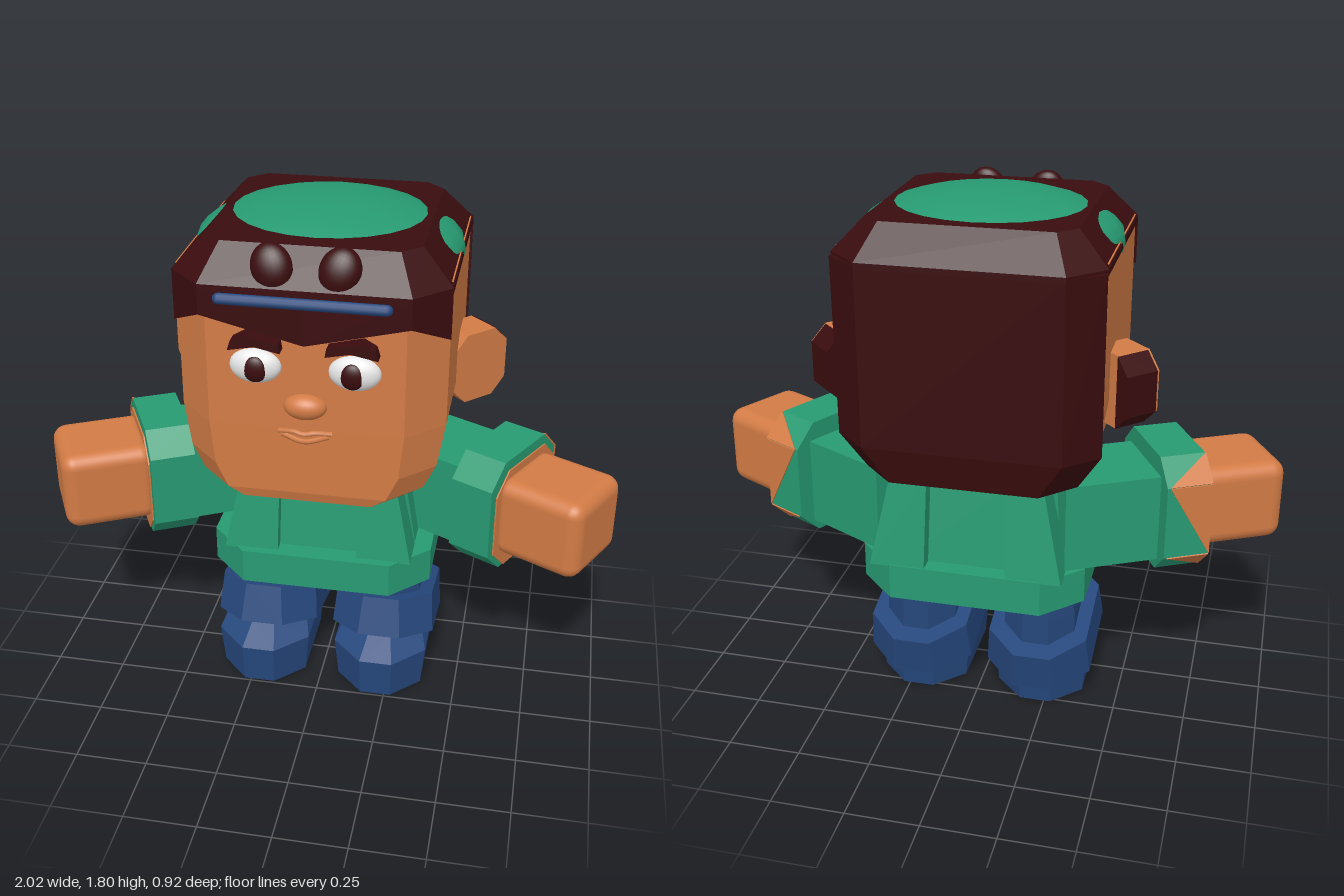
import * as THREE from 'three';
import { RoundedBoxGeometry } from 'three/addons/geometries/RoundedBoxGeometry.js';

const mat = (name, color, extra = {}) => {
  const m = new THREE.MeshStandardMaterial({ color, ...extra });
  m.name = name;
  return m;
};

// Chamfered rectangle in the xz plane
const octagon = (x, z0, z1, c) => [
  [x, z0 + c], [x, z1 - c], [x - c, z1], [c - x, z1],
  [-x, z1 - c], [-x, z0 + c], [c - x, z0], [x - c, z0],
];

// Faceted solid through stacked rings [y, outline]
function loft(rings) {
  const v = [];
  const tri = (...p) => p.forEach((q) => v.push(...q));
  const pts = rings.map(([y, o]) => o.map(([x, z]) => [x, y, z]));
  const n = pts[0].length, last = pts[pts.length - 1];
  for (let r = 0; r < pts.length - 1; r++) {
    for (let i = 0; i < n; i++) {
      const j = (i + 1) % n, lo = pts[r], hi = pts[r + 1];
      tri(lo[i], hi[i], lo[j]);
      tri(lo[j], hi[i], hi[j]);
    }
  }
  for (let i = 1; i < n - 1; i++) {
    tri(pts[0][0], pts[0][i], pts[0][i + 1]);
    tri(last[0], last[i + 1], last[i]);
  }
  const g = new THREE.BufferGeometry();
  g.setAttribute('position', new THREE.Float32BufferAttribute(v, 3));
  g.computeVertexNormals();
  return g;
}

const octLoft = (rows) => loft(rows.map(([y, ...o]) => [y, octagon(...o)]));

function add(parent, name, geometry, material, pos = [0, 0, 0], rot = [0, 0, 0], scale = [1, 1, 1]) {
  const m = new THREE.Mesh(geometry, material);
  m.name = name;
  m.position.set(...pos);
  m.rotation.set(...rot);
  m.scale.set(...scale);
  parent.add(m);
  return m;
}

function plate(points, depth) {
  const shape = new THREE.Shape(points.map((p) => new THREE.Vector2(...p)));
  return new THREE.ExtrudeGeometry(shape, { depth, bevelEnabled: false });
}

const tube = (points, r) => new THREE.TubeGeometry(
  new THREE.CatmullRomCurve3(points.map((p) => new THREE.Vector3(...p))), 12, r, 6);

export function createModel() {
  const skin = mat('skin', 0xd27b45);
  const hair = mat('hair', 0x3a0c0e);
  const hairSheet = hair;
  const green = mat('green cloth', 0x279a72);
  const blue = mat('blue cloth', 0x25477c);
  const white = mat('eye white', 0xf2f2f2);
  const model = new THREE.Group();
  model.name = 'figure';
  const ball = new THREE.SphereGeometry(1, 24, 16);

  // Head
  const head = new THREE.Group();
  head.name = 'head';
  model.add(head);
  add(head, 'face', octLoft([
    [0.9, 0.31, -0.3, 0.39, 0.1], [0.935, 0.37, -0.32, 0.4, 0.11], [1.02, 0.41, -0.36, 0.4, 0.11],
    [1.17, 0.435, -0.44, 0.4, 0.12], [1.66, 0.435, -0.44, 0.4, 0.12],
  ]), skin);

  // Hair: crown, back and pointed fringe
  add(head, 'hairCrown', octLoft([
    [1.63, 0.44, -0.46, 0.42, 0.11], [1.65, 0.44, -0.46, 0.42, 0.11], [1.757, 0.34, -0.36, 0.32, 0.06],
  ]), hair);
  const back = (x, zf, zb) => [[x, zf], [-x, zf], [-x, zf - 0.01], [0.11 - x, zb], [x - 0.11, zb], [x, zf - 0.01]];
  add(head, 'hairBack', loft([
    [0.9, back(0.36, -0.31, -0.43)], [1.03, back(0.44, -0.35, -0.46)], [1.64, back(0.44, -0.36, -0.46)],
  ]), hair);
  const edge = [[0.44, 0.31, 1.48], [0.33, 0.42, 1.55], [0, 0.42, 1.47], [-0.33, 0.42, 1.55], [-0.44, 0.31, 1.48]];
  for (let i = 0; i < 4; i++) {
    const [a, b] = [edge[i], edge[i + 1]];
    const inner = ([x, z]) => [x * 0.93, z - 0.04];
    const ring = [a, b, inner(b), inner(a)];
    const low = [a[2], b[2], b[2], a[2]];
    const g = loft([[0, ring], [1, ring]]);
    // Slant the lower edge of each fringe piece
    const p = g.attributes.position;
    for (let k = 0; k < p.count; k++) {
      const c = ring.findIndex(([x, z]) => Math.abs(x - p.getX(k)) < 1e-5 && Math.abs(z - p.getZ(k)) < 1e-5);
      p.setY(k, p.getY(k) > 0.5 ? 1.64 : low[c]);
    }
    g.computeVertexNormals();
    add(head, 'fringe', g, hairSheet);
  }
  add(head, 'cap', ball, green, [0, 1.645, -0.03], [0, 0, 0], [0.445, 0.16, 0.39]);
  add(head, 'headband', new THREE.CapsuleGeometry(0.018, 0.515, 4, 10), blue, [0, 1.617, 0.44], [0, 0, Math.PI / 2]);
  add(head, 'nose', ball, skin, [0, 1.255, 0.4], [0, 0, 0], [0.07, 0.043, 0.045]);
  add(head, 'upperLip', tube([[-0.085, 1.165, 0.405], [-0.03, 1.172, 0.42], [0, 1.166, 0.423], [0.03, 1.172, 0.42], [0.085, 1.165, 0.405]], 0.009), skin);
  add(head, 'lowerLip', tube([[-0.075, 1.155, 0.405], [0, 1.14, 0.42], [0.075, 1.155, 0.405]], 0.009), skin);

  // Torso with wide hem and upright straps
  const torso = new THREE.Group();
  torso.name = 'torso';
  model.add(torso);
  add(torso, 'hem', octLoft([[0.46, 0.39, -0.43, 0.26, 0.13], [0.585, 0.39, -0.43, 0.26, 0.13]]), green);
  add(torso, 'jacket', octLoft([[0.58, 0.33, -0.37, 0.19, 0.1], [0.92, 0.27, -0.33, 0.15, 0.08]]), green);
  const strap = (z0, z1, zt0, zt1) => loft([
    [0.58, [[0.33, z0], [0.33, z1], [0.14, z1], [0.14, z0]]],
    [0.91, [[0.26, zt0], [0.26, zt1], [0.135, zt1], [0.135, zt0]]],
  ]);

  // Everything that comes in pairs
  for (const s of [1, -1]) {
    const side = new THREE.Group();
    side.name = s > 0 ? 'leftSide' : 'rightSide';
    side.scale.x = s;
    model.add(side);

    add(side, 'frontStrap', strap(0.1, 0.23, 0.1, 0.19), green);
    add(side, 'backStrap', strap(-0.425, -0.3, -0.385, -0.28), green);

    // Face details
    add(side, 'eye', ball, white, [0.157, 1.385, 0.4], [0, 0, 0], [0.083, 0.058, 0.04]);
    add(side, 'pupil', ball, hair, [0.153, 1.383, 0.425], [0, 0, 0], [0.04, 0.044, 0.02]);
    add(side, 'brow', plate([[0.07, 1.45], [0.15, 1.467], [0.235, 1.45], [0.225, 1.482], [0.185, 1.505], [0.075, 1.478]], 0.05), hair, [0, 0, 0.395]);
    add(side, 'hairTuft', ball, hair, [0.105, 1.705, 0.375], [-0.3, 0, -0.35], [0.065, 0.075, 0.04]);

    // Ear set at an angle, with a dark outer rim
    const ear = new THREE.Group();
    ear.name = 'ear';
    ear.position.set(0.464, 1.207, -0.144);
    ear.rotation.y = Math.PI / 4;
    side.add(ear);
    add(ear, 'earShell', plate([[0.06, -0.125], [0.115, -0.07], [0.115, 0.07], [0.06, 0.125],
      [-0.06, 0.125], [-0.115, 0.07], [-0.115, -0.07], [-0.06, -0.125]], 0.127), skin, [0, 0, -0.0635]);
    add(ear, 'earRim', plate([[0.064, -0.125], [0.119, -0.071], [0.119, 0.071], [0.064, 0.125]], 0.121), hair, [0, 0, -0.0665]);

    // Arm: sleeve, cuff and hand along local x
    const arm = new THREE.Group();
    arm.name = 'arm';
    arm.position.set(0.62, 0.755, -0.015);
    arm.rotation.y = -0.48;
    side.add(arm);
    add(arm, 'sleeve', new THREE.BoxGeometry(0.38, 0.31, 0.3), green, [-0.22, -0.01, 0]);
    const lay = [0, 0, -Math.PI / 2];
    add(arm, 'cuff', octLoft([[-0.08, 0.21, -0.21, 0.21, 0.08], [0.078, 0.21, -0.21, 0.21, 0.08]]), green, [0, 0, 0], lay);
    add(arm, 'gloveEdge', octLoft([[0, 0.19, -0.205, 0.18, 0.075], [0.006, 0.19, -0.205, 0.18, 0.075]]), skin, [0.077, -0.018, 0], lay);
    add(arm, 'gloveBack', plate([[0.08, -0.13], [0.08, 0.13], [-0.07, 0.13]], 0.006), skin, [0, 0, -0.215]);
    for (const t of [1, -1]) {
      // Pointed patches on the slanted rear edges of the cuff
      add(arm, 'glovePoint', plate([[0.08, -0.056], [0.08, 0.056], [-0.07, -t * 0.056]], 0.006), skin,
        [0, t * 0.17, -0.17], [t * Math.PI / 4, 0, 0]).translateZ(-0.004);
    }
    add(arm, 'hand', new RoundedBoxGeometry(0.33, 0.29, 0.31, 3, 0.05), skin, [0.215, 0, 0]);

    // Leg with tilted boot cuff
    const leg = new THREE.Group();
    leg.name = 'leg';
    leg.position.x = 0.218;
    side.add(leg);
    add(leg, 'trouser', octLoft([[0.1, 0.13, -0.28, 0.1, 0.08], [0.34, 0.125, -0.28, 0.1, 0.08], [0.48, 0.108, -0.28, 0.1, 0.07]]), blue);
    add(leg, 'bootCuff', octLoft([[-0.072, 0.187, -0.26, 0.26, 0.11], [0.072, 0.175, -0.25, 0.25, 0.11]]), blue, [0, 0.225, -0.085], [-0.255, 0, 0]);
    add(leg, 'boot', octLoft([[0, 0.155, -0.265, 0.24, 0.1], [0.15, 0.169, -0.28, 0.253, 0.11], [0.21, 0.14, -0.26, 0.15, 0.1]]), blue);
  }
  return model;
}
